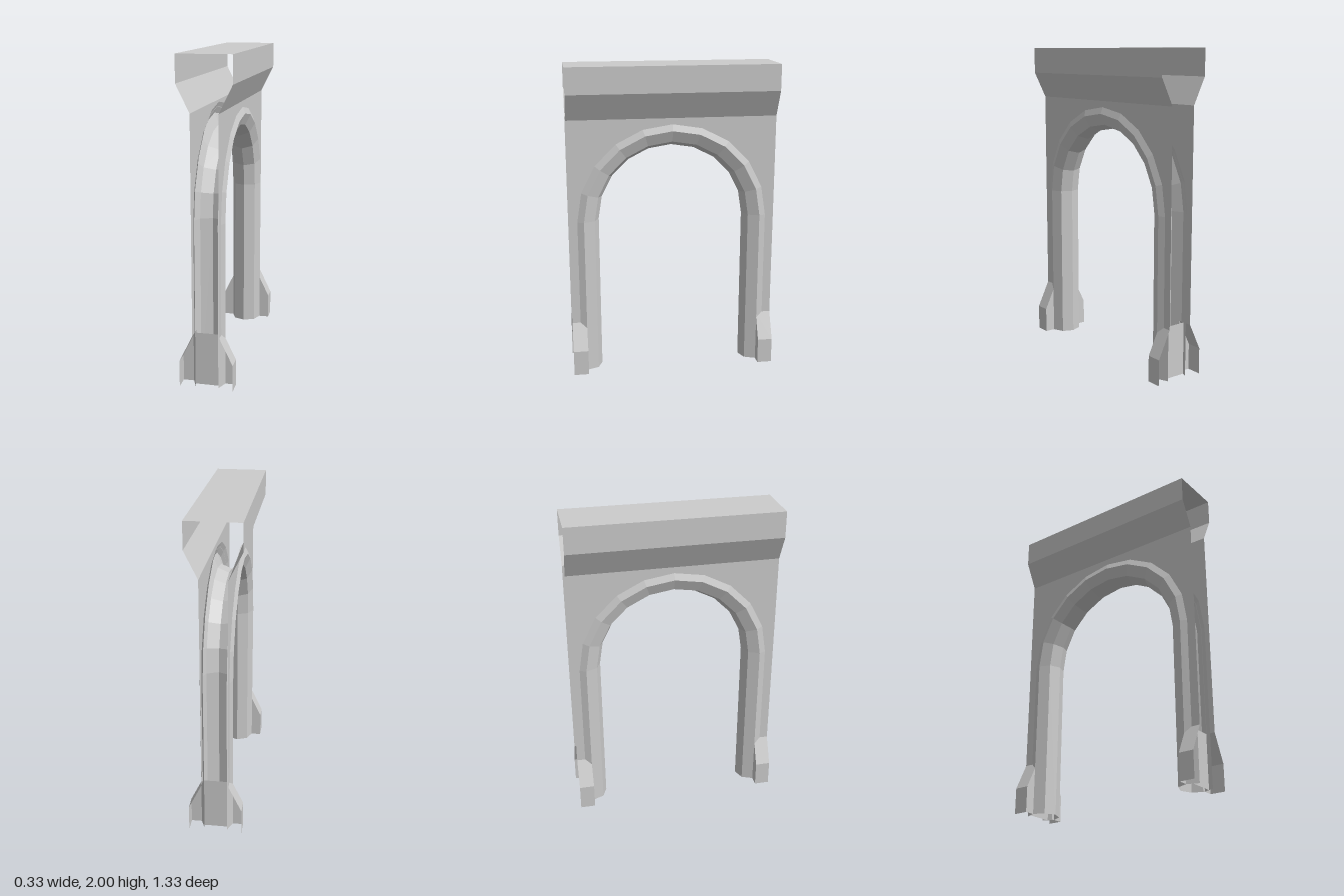
import * as THREE from 'three';

const mat = new THREE.MeshStandardMaterial({ color: 0xcccccc, flatShading: true, side: THREE.DoubleSide });

const END = 0.665;    // half length along z
const WALL = 0.083;   // half thickness of the wall
const FLARE = 0.165;  // half width of cap and feet
const SPRING = 1.02;  // height where the arch starts to curve
const RADIUS = 0.57;  // radius of the arch moulding
const STEPS = 10;

// Skins a list of cross-sections (arrays of Vector3) with quads
function loft(rows) {
  const n = rows[0].length;
  const index = [];
  for (let i = 0; i < rows.length - 1; i++) {
    for (let j = 0; j < n - 1; j++) {
      const a = i * n + j, b = a + 1, c = a + n, d = c + 1;
      index.push(a, b, c, b, d, c);
    }
  }
  const g = new THREE.BufferGeometry().setFromPoints(rows.flat());
  g.setIndex(index);
  const flat = g.toNonIndexed();
  flat.computeVertexNormals();
  return flat;
}

// Straight sheet: an x/y profile drawn along z
const sheet = (profile, z0, z1) =>
  loft([z0, z1].map(z => profile.map(([x, y]) => new THREE.Vector3(x, y, z))));

function add(parent, name, geometry) {
  const mesh = new THREE.Mesh(geometry, mat);
  mesh.name = name;
  parent.add(mesh);
  return mesh;
}

// Arch line as [radial direction z, radial direction y, base height]
function archLine(bottom) {
  const line = [[1, 0, bottom]];
  for (let i = 0; i <= STEPS; i++) {
    const a = (Math.PI * i) / STEPS;
    line.push([Math.cos(a), Math.sin(a), SPRING]);
  }
  line.push([-1, 0, bottom]);
  return line;
}

// Open octagonal moulding swept along the arch, without its outer two sides
function mouldingGeometry() {
  const profile = [];
  for (let k = 0; k < 7; k++) {
    const a = (Math.PI / 4) * (1 - k);
    profile.push([0.1 * Math.cos(a), 0.1 * Math.sin(a)]);
  }
  return loft(archLine(0).map(([dz, dy, y]) =>
    profile.map(([x, r]) => new THREE.Vector3(x, y + (RADIUS + r) * dy, (RADIUS + r) * dz))));
}

// Flat wall with the arch cut out, ending above the feet
function wallGeometry() {
  const r = 0.608, bottom = 0.335;
  const shape = new THREE.Shape();
  shape.moveTo(-END, bottom);
  shape.lineTo(-END, 1.67);
  shape.lineTo(END, 1.67);
  shape.lineTo(END, bottom);
  for (const [dz, dy, y] of archLine(bottom)) shape.lineTo(r * dz, y + r * dy);
  return new THREE.ShapeGeometry(shape).rotateY(Math.PI / 2);
}

export function createModel() {
  const group = new THREE.Group();
  group.name = 'archway';

  add(group, 'archMoulding', mouldingGeometry());

  // Walls on both sides
  for (const s of [1, -1]) {
    const wall = add(group, s > 0 ? 'leftWall' : 'rightWall', wallGeometry());
    wall.position.x = s * WALL;
    if (s < 0) wall.rotation.y = Math.PI;
  }

  // Flared cap, open at both ends
  add(group, 'cap', sheet([
    [WALL, 1.67], [FLARE, 1.835], [FLARE, 2], [-FLARE, 2], [-FLARE, 1.835], [-WALL, 1.67],
  ], END, -END));

  for (const sz of [1, -1]) {
    const end = sz > 0 ? 'front' : 'back';

    // Low panel across the leg
    const panel = add(group, end + 'LegPanel', new THREE.PlaneGeometry(2 * WALL, 0.335));
    panel.position.set(0, 0.1675, sz * 0.608);
    if (sz < 0) panel.rotation.y = Math.PI;

    // Flared feet: sloped outer plate and inner side plate
    for (const sx of [1, -1]) {
      const foot = new THREE.Group();
      foot.name = end + (sx > 0 ? 'Left' : 'Right') + 'Foot';
      const outline = [[FLARE, 0], [FLARE, 0.165], [WALL, 0.335]].map(([x, y]) => [sx * x, y]);
      const ends = sx * sz > 0 ? [sz * END, sz * RADIUS] : [sz * RADIUS, sz * END];
      add(foot, 'outerPlate', sheet(outline, sx > 0 ? Math.max(...ends) : Math.min(...ends),
        sx > 0 ? Math.min(...ends) : Math.max(...ends)));
      const side = new THREE.Shape([[sx * WALL, 0], ...outline].map(p => new THREE.Vector2(...p)));
      const plate = new THREE.ShapeGeometry(side);
      if (sz > 0) plate.scale(-1, 1, 1).rotateY(Math.PI);
      add(foot, 'sidePlate', plate).position.z = sz * RADIUS;
      group.add(foot);
    }
  }

  return group;
}
